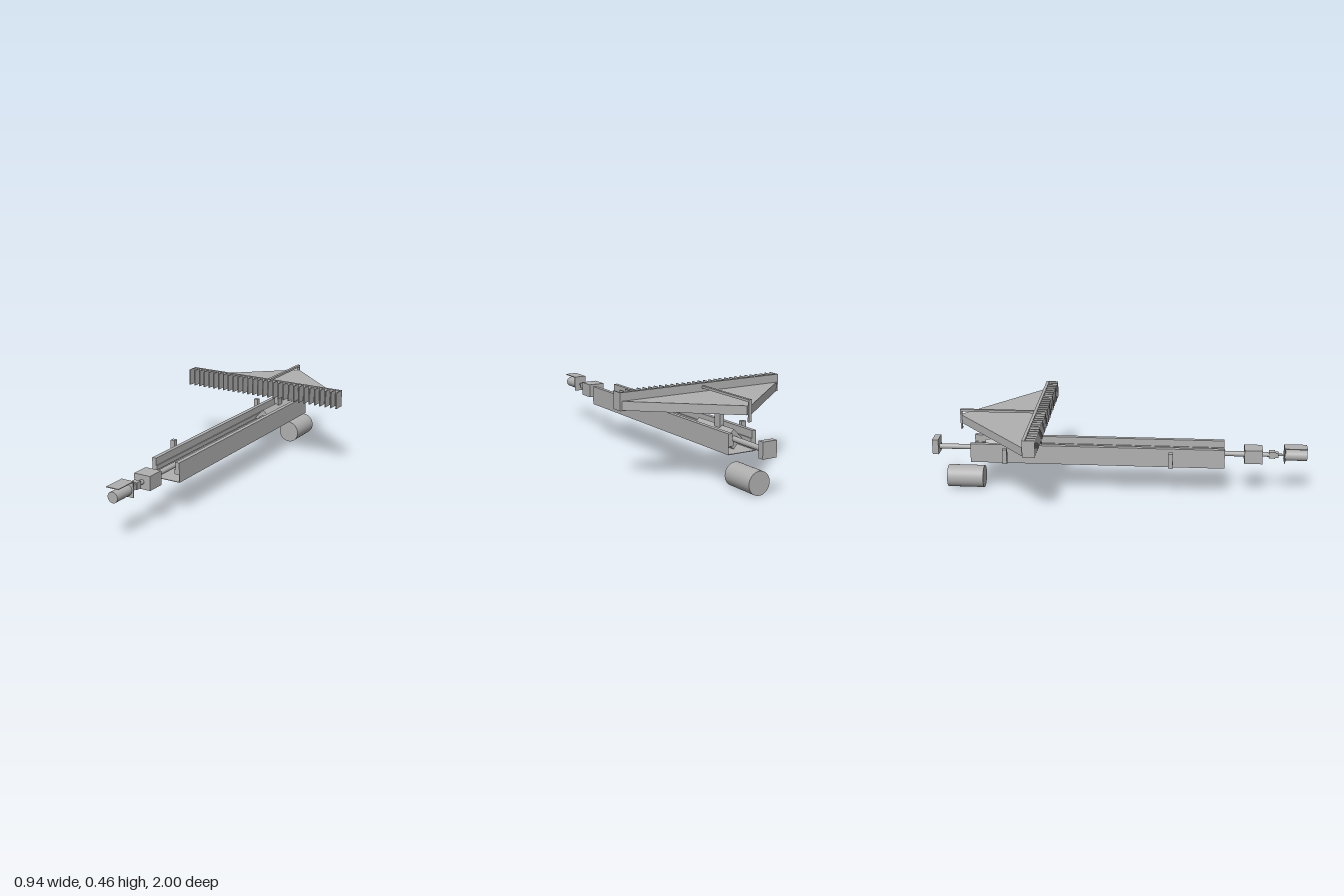
import * as THREE from 'three';

export function createModel() {
  const model = new THREE.Group();
  const grey = new THREE.MeshStandardMaterial({ color: 0xb0b0b0 });
  grey.name = 'grey';

  function add(name, geometry, parent = model) {
    const mesh = new THREE.Mesh(geometry, grey);
    mesh.name = name;
    parent.add(mesh);
    return mesh;
  }
  // Box given by its limits on each axis
  function box(name, x0, x1, y0, y1, z0, z1, parent) {
    const g = new THREE.BoxGeometry(x1 - x0, y1 - y0, z1 - z0);
    g.translate((x0 + x1) / 2, (y0 + y1) / 2, (z0 + z1) / 2);
    return add(name, g, parent);
  }
  // Cylinder lying along z
  function rod(name, r, y, z0, z1, sides = 32) {
    const g = new THREE.CylinderGeometry(r, r, z1 - z0, sides);
    g.rotateX(Math.PI / 2);
    g.translate(0, y, (z0 + z1) / 2);
    return add(name, g);
  }

  // Open trough: floor, thin sides and thick upper rails
  const trough = new THREE.Group();
  trough.name = 'trough';
  model.add(trough);
  const back = -0.785, front = 0.565;
  box('troughFloor', -0.08, 0.08, 0.175, 0.178, back, front, trough);
  for (const s of [-1, 1]) {
    const side = (name, a, b, y0, y1) =>
      box(name, Math.min(s * a, s * b), Math.max(s * a, s * b), y0, y1, back, front, trough);
    side('troughSide', 0.078, 0.08, 0.178, 0.215);
    side('troughRail', 0.057, 0.08, 0.215, 0.278);
    side('railLip', 0.051, 0.057, 0.217, 0.24);
  }

  // Central shaft with end plate, front block, coupling and motor
  rod('shaft', 0.014, 0.23, -0.97, 0.675);
  box('endPlate', -0.04, 0.04, 0.197, 0.28, -1, -0.967);
  box('frontBlock', -0.046, 0.046, 0.192, 0.266, 0.67, 0.765);
  rod('thinShaft', 0.006, 0.23, 0.765, 0.89, 16);
  rod('couplingRear', 0.012, 0.23, 0.765, 0.8);
  box('coupling', -0.018, 0.018, 0.214, 0.25, 0.8, 0.832);
  box('couplingFront', -0.014, 0.014, 0.217, 0.244, 0.832, 0.85);
  rod('motor', 0.028, 0.229, 0.885, 1);
  box('motorBackPlate', -0.035, 0.035, 0.194, 0.277, 0.88, 0.885);
  box('motorCover', -0.035, 0.035, 0.273, 0.277, 0.885, 1);

  // Square block turned on its edge, carrying the fan post
  const block = new THREE.BoxGeometry(0.07, 0.07, 0.3);
  block.rotateZ(Math.PI / 4);
  block.translate(0, 0.228, -0.565);
  add('diamondBlock', block);
  box('fanPost', -0.012, 0.012, 0.25, 0.38, -0.615, -0.57);

  // Triangular fan body
  const shape = new THREE.Shape();
  [[-0.47, 0.435], [0.47, 0.435], [0.012, 0.835], [-0.012, 0.835]]
    .forEach(([x, y], i) => (i ? shape.lineTo(x, y) : shape.moveTo(x, y)));
  const fan = new THREE.ExtrudeGeometry(shape, { depth: 0.045, bevelEnabled: false });
  fan.rotateX(-Math.PI / 2);
  fan.translate(0, 0.37, 0);
  add('fanBody', fan);

  // Wide comb along the front edge of the fan
  const comb = new THREE.Group();
  comb.name = 'comb';
  model.add(comb);
  box('combPlate', -0.47, 0.47, 0.367, 0.457, -0.443, -0.428, comb);
  const teeth = 30;
  for (let i = 0; i < teeth; i++) {
    const x = -0.467 + (0.934 * i) / (teeth - 1);
    box('combTooth', x - 0.003, x + 0.003, 0.367, 0.457, -0.43, -0.378, comb);
  }

  // Bent bar above the fan
  box('topBar', -0.008, 0.008, 0.433, 0.445, -0.845, -0.45);
  box('topBarDrop', -0.008, 0.008, 0.337, 0.434, -0.845, -0.836);

  // Separate parts beside and below the trough
  for (const z of [0.282, -0.59]) {
    box('sidePost', -0.153, -0.128, 0.197, 0.278, z - 0.012, z + 0.012);
  }
  rod('lowerDrum', 0.06, 0.06, -0.926, -0.73, 48);

  return model;
}
